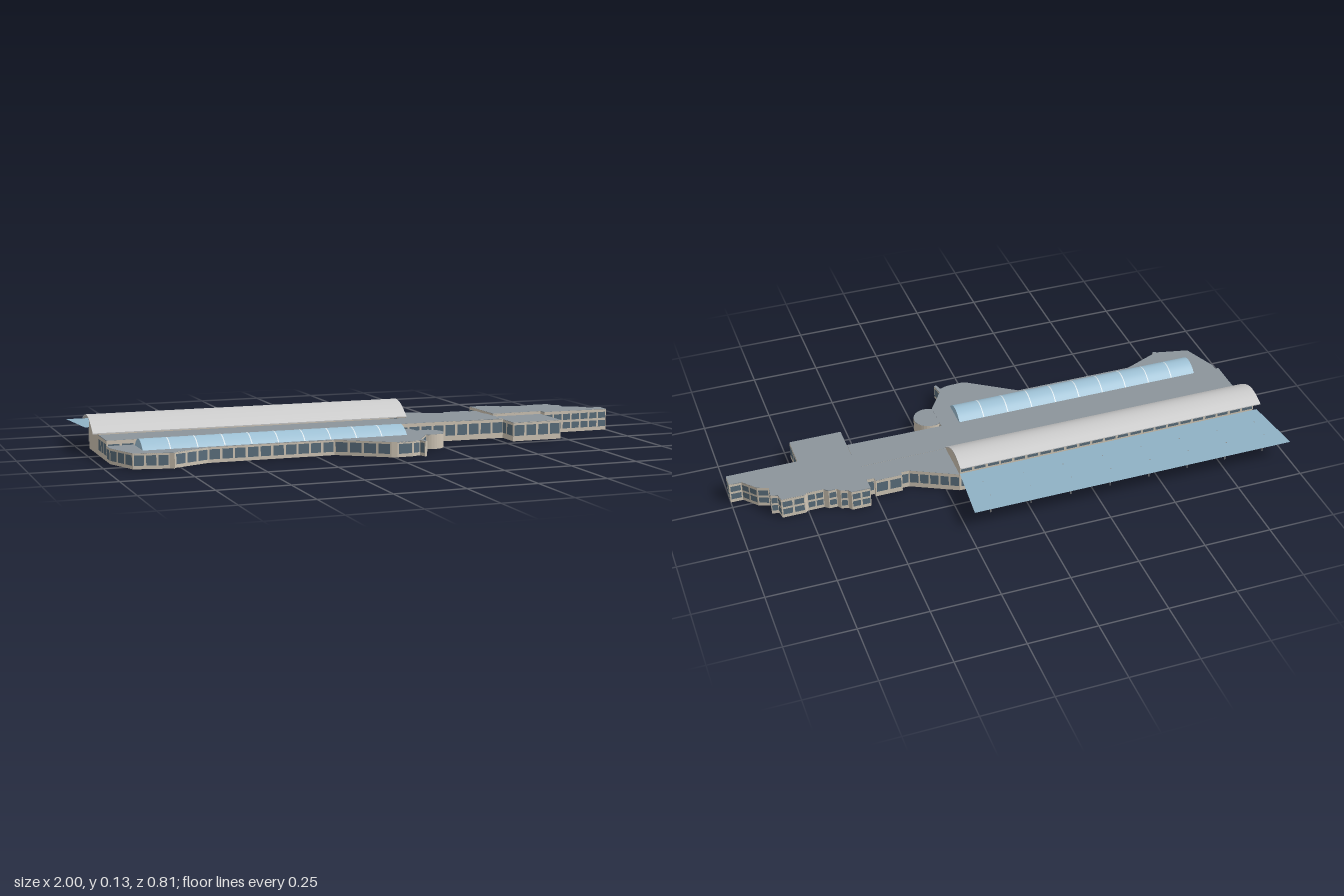
import * as THREE from 'three';
import { mergeGeometries } from 'three/addons/utils/BufferGeometryUtils.js';

const mat = (color, side = THREE.FrontSide) => {
  const m = new THREE.MeshStandardMaterial({ side });
  m.color.set(color);
  return m;
};
const wallMat = mat(0xd0c6b6, THREE.DoubleSide);
const roofMat = mat(0x8c959b, THREE.DoubleSide);
const windowMat = mat(0x5a6e7c);
const barrelMat = mat(0xbfbfbf, THREE.DoubleSide);
const glassMat = mat(0x9fc2d6, THREE.DoubleSide);
const canopyMat = mat(0x8fb2c5, THREE.DoubleSide);
const ribMat = mat(0xdde6ea, THREE.DoubleSide);
const postMat = mat(0x8a8a8a);

function add(group, name, geometry, material) {
  const mesh = new THREE.Mesh(geometry, material);
  mesh.name = name;
  group.add(mesh);
  return mesh;
}

// Upright panel centred at (x, y, z), facing the horizontal direction (nx, nz)
function panel(w, h, x, y, z, nx, nz) {
  return new THREE.PlaneGeometry(w, h).rotateY(Math.atan2(nx, nz)).translate(x, y, z);
}

// Window panels along one wall, one row for each [bottom, top]
function windowRow(a, b, rows, pitch) {
  const dx = b[0] - a[0], dz = b[1] - a[1], len = Math.hypot(dx, dz);
  const nx = -dz / len, nz = dx / len, out = [];
  if (len < 0.025) return out;
  const n = Math.max(1, Math.round(len / pitch)), step = len / n;
  for (let i = 0; i < n; i++) {
    const t = (i + 0.5) / n;
    for (const [lo, hi] of rows)
      out.push(panel(step * 0.82, hi - lo, a[0] + dx * t + nx * 0.001, (lo + hi) / 2,
        a[1] + dz * t + nz * 0.001, nx, nz));
  }
  return out;
}

// Building wing: open-bottomed walls on a plan of [x, z] points, with a thin roof slab
function wing(name, plan, height, rows, pitch) {
  const g = new THREE.Group();
  g.name = name;
  let pts = plan.map(([x, z]) => new THREE.Vector2(x, -z));
  if (THREE.ShapeUtils.area(pts) < 0) pts.reverse();
  const walls = [], windows = [];
  pts.forEach((p, i) => {
    const q = pts[(i + 1) % pts.length];
    const a = [p.x, -p.y], b = [q.x, -q.y], len = p.distanceTo(q);
    walls.push(panel(len, height, (a[0] + b[0]) / 2, height / 2, (a[1] + b[1]) / 2,
      (a[1] - b[1]) / len, (b[0] - a[0]) / len));
    windows.push(...windowRow(a, b, rows, pitch));
  });
  add(g, name + 'Walls', mergeGeometries(walls), wallMat);
  const slab = new THREE.ExtrudeGeometry(new THREE.Shape(pts), { depth: 0.003, bevelEnabled: false });
  add(g, name + 'Roof', slab.rotateX(-Math.PI / 2).translate(0, height - 0.0025, 0), roofMat);
  if (windows.length) add(g, name + 'Windows', mergeGeometries(windows), windowMat);
  return g;
}

// Profile of [z, y] points swept along x
function sweep(profile, x0, x1) {
  const shape = new THREE.Shape(profile.map(([z, y]) => new THREE.Vector2(-z, y)));
  return new THREE.ExtrudeGeometry(shape, { depth: x1 - x0, bevelEnabled: false })
    .rotateY(Math.PI / 2).translate(x0, 0, 0);
}

// Smooth open surface along x over a [z, y] profile
function curvedSheet(profile, x0, x1) {
  const geo = new THREE.PlaneGeometry(1, 1, 1, profile.length - 1);
  const pos = geo.attributes.position;
  profile.forEach(([z, y], i) => {
    pos.setXYZ(i * 2, x0, y, z);
    pos.setXYZ(i * 2 + 1, x1, y, z);
  });
  geo.computeVertexNormals();
  return geo;
}

function createModel() {
  const model = new THREE.Group();
  model.name = 'terminalBuilding';
  const single = [[0.02, 0.06]], low = [[0.012, 0.047]], double = [[0.014, 0.038], [0.047, 0.07]];

  // Straight central block and the wings around it
  model.add(wing('centralBlock',
    [[-0.96, 0.12], [0.16, 0.12], [0.54, 0.125], [0.54, -0.015], [-0.96, -0.015]], 0.073, single, 0.048));
  model.add(wing('rearWedge',
    [[0.205, -0.178], [0.37, -0.095], [0.4, -0.095], [0.4, -0.11], [0.5, -0.11], [0.5, -0.095],
      [0.53, -0.095], [0.53, -0.015], [0.205, -0.015]], 0.072, single, 0.04));
  model.add(wing('endWing',
    [[0.53, -0.155], [0.6, -0.155], [0.61, -0.14], [0.635, -0.135], [0.645, -0.12], [0.675, -0.12],
      [0.69, -0.107], [0.75, -0.107], [0.76, -0.115], [0.845, -0.115], [0.85, -0.085], [0.875, -0.08],
      [0.87, -0.035], [0.91, -0.02], [0.955, 0.03], [1, 0.03], [1, 0.08], [0.735, 0.08],
      [0.735, 0.05], [0.535, 0.05]], 0.081, double, 0.04));
  model.add(wing('frontAnnex',
    [[0.54, 0.05], [0.735, 0.05], [0.735, 0.215], [0.54, 0.215]], 0.07, single, 0.055));
  model.add(wing('frontWing',
    [[-0.96, 0.12], [-0.96, 0.17], [-0.91, 0.298], [-0.79, 0.325], [-0.775, 0.335], [-0.77, 0.32],
      [-0.64, 0.265], [-0.18, 0.265], [-0.01, 0.38], [0.01, 0.387], [0.07, 0.385], [0.1, 0.375],
      [0.108, 0.403], [0.117, 0.4], [0.11, 0.352], [0.17, 0.262], [0.17, 0.15], [0.16, 0.12]],
    0.054, low, 0.046));

  // Round bay, without windows
  const bay = [];
  for (let i = 0; i < 32; i++) {
    const a = i / 32 * Math.PI * 2;
    bay.push([0.2 + 0.055 * Math.cos(a), 0.214 + 0.055 * Math.sin(a)]);
  }
  model.add(wing('roundBay', bay, 0.053, [], 1));

  // Hall with an asymmetric barrel roof
  const hall = new THREE.Group();
  hall.name = 'barrelHall';
  model.add(hall);
  const arc = new THREE.SplineCurve([[-0.015, 0.078], [-0.05, 0.104], [-0.085, 0.123], [-0.12, 0.13],
    [-0.155, 0.125], [-0.195, 0.11]].map(p => new THREE.Vector2(...p))).getPoints(24).map(p => [p.x, p.y]);
  add(hall, 'barrelRoofTop', curvedSheet(arc.map(([z, y]) => [z, y + 0.002]).reverse(), -0.98, 0.207), barrelMat);
  add(hall, 'barrelRoofEdge',
    sweep([...arc.map(([z, y]) => [z, y + 0.0015]), ...arc.map(([z, y]) => [z, y - 0.002]).reverse()],
      -0.98, 0.207), barrelMat);
  const gable = new THREE.Shape([[-0.015, 0], ...arc.filter(p => p[0] > -0.178), [-0.178, 0.115], [-0.178, 0]]
    .map(([z, y]) => new THREE.Vector2(-z, y)));
  for (const x of [-0.96, 0.204])
    add(hall, 'gableWall', new THREE.ShapeGeometry(gable).rotateY(Math.PI / 2).translate(x, 0, 0), wallMat);
  add(hall, 'rearWall', panel(1.164, 0.115, -0.378, 0.0575, -0.178, 0, -1), wallMat);
  add(hall, 'rearWindows', mergeGeometries(
    windowRow([0.204, -0.178], [-0.96, -0.178], [[0.018, 0.06], [0.083, 0.106]], 0.05)), windowMat);

  // Flared glass canopy on two rows of posts
  const canopy = new THREE.Group();
  canopy.name = 'canopy';
  model.add(canopy);
  const sheet = new THREE.PlaneGeometry(1, 1);
  [[-1, -0.405], [0.225, -0.405], [0.205, -0.18], [-0.975, -0.18]].forEach(([x, z], i) =>
    sheet.attributes.position.setXYZ([0, 1, 3, 2][i], x, 0.077, z));
  sheet.computeVertexNormals();
  add(canopy, 'canopySheet', sheet, canopyMat);
  for (let i = 0; i < 8; i++)
    for (const z of [-0.25, -0.33])
      add(canopy, 'canopyPost', new THREE.CylinderGeometry(0.0025, 0.0025, 0.077, 8), postMat)
        .position.set(-0.93 + i * 0.153, 0.0385, z);

  // Glazed vault over the front wing, with light ribs
  const vault = new THREE.Group();
  vault.name = 'skylight';
  model.add(vault);
  const curve = [];
  for (let i = 0; i <= 20; i++) {
    const t = i / 10 - 1;
    curve.push([0.194 + 0.06 * t, 0.054 + 0.032 * (1 - t * t)]);
  }
  add(vault, 'skylightGlass', curvedSheet(curve, -0.865, 0.1), glassMat);
  const end = new THREE.Shape(curve.map(([z, y]) => new THREE.Vector2(-z, y)));
  for (const x of [-0.865, 0.1])
    add(vault, 'skylightEnd', new THREE.ShapeGeometry(end).rotateY(Math.PI / 2).translate(x, 0, 0), glassMat);
  const raised = curve.map(([z, y]) => [z, y + 0.0008]);
  for (let i = 1; i < 10; i++) {
    const x = -0.865 + i * 0.0965;
    add(vault, 'skylightRib', curvedSheet(raised, x - 0.002, x + 0.002), ribMat);
  }
  return model;
}

export { createModel };
